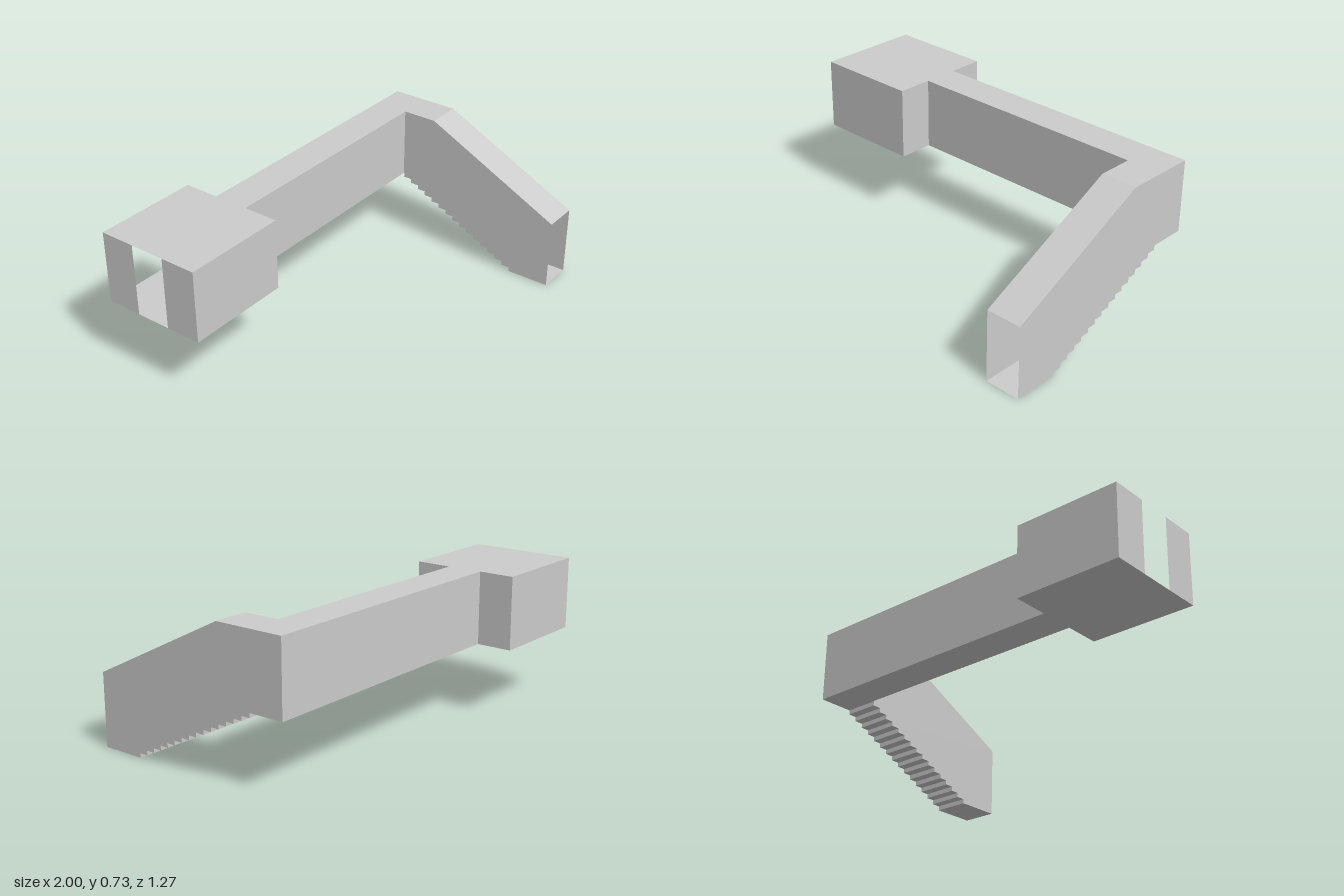
import * as THREE from 'three';

const outer = new THREE.MeshStandardMaterial({ color: 0xcccccc, flatShading: true });
const thin = new THREE.MeshStandardMaterial({ color: 0xcccccc, flatShading: true, side: THREE.DoubleSide });

// Main levels and plan lines
const LOW = 0.365, HIGH = 0.73;
const X0 = -1, XR = -0.455, XS = 0.818, X1 = 1;
const ZB = -0.637, ZC = -0.455, ZF = -0.275, ZR = -0.093, ZE = 0.637;
const STEPS = 16, STAIR_START = 0.41, STAIR_END = -0.272;

// Sweeps a polyline of [x, y, z] points along a vector into flat quads
function ribbon(points, [vx, vy, vz]) {
  const pos = [];
  for (let i = 0; i < points.length - 1; i++) {
    const a = points[i], b = points[i + 1];
    const c = [b[0] + vx, b[1] + vy, b[2] + vz];
    const d = [a[0] + vx, a[1] + vy, a[2] + vz];
    pos.push(...a, ...b, ...c, ...a, ...c, ...d);
  }
  const g = new THREE.BufferGeometry();
  g.setAttribute('position', new THREE.Float32BufferAttribute(pos, 3));
  g.computeVertexNormals();
  return g;
}

const flat = (pts) => new THREE.ShapeGeometry(new THREE.Shape(pts.map(([x, y]) => new THREE.Vector2(x, y))));

export function createModel() {
  const model = new THREE.Group();
  model.name = 'corridorWithStairs';
  const add = (name, geometry, material) => {
    const mesh = new THREE.Mesh(geometry, material);
    mesh.name = name;
    model.add(mesh);
    return mesh;
  };

  // Walls of the room and corridor, leaving the doorway and stairwell open
  const wall = (plan) => ribbon(plan.map(([x, z]) => [x, LOW, z]), [0, HIGH - LOW, 0]);
  add('frontWalls', wall([[X0, ZF], [X0, ZR], [XR, ZR], [XR, ZF], [XS, ZF]]), outer);
  add('backWalls', wall([[X1, ZF], [X1, ZC], [XR, ZC], [XR, ZB], [X0, ZB], [X0, ZC]]), outer);

  // Level floor and roof share one plan
  const plan = [[X0, ZR], [XR, ZR], [XR, ZF], [X1, ZF], [X1, ZC], [XR, ZC], [XR, ZB], [X0, ZB]];
  const slab = () => flat(plan.map(([x, z]) => [x, -z])).rotateX(-Math.PI / 2);
  add('floor', slab(), thin).position.y = LOW;
  add('roof', slab(), outer).position.y = HIGH;

  // Stair profile as [z, y], from the bottom landing up to the corridor
  const stairs = [[ZE, 0], [STAIR_START, 0]];
  const tread = (STAIR_START - STAIR_END) / (STEPS - 1);
  for (let i = 0; i < STEPS; i++) {
    const y = ((i + 1) * LOW) / STEPS;
    stairs.push([STAIR_START - i * tread, y]);
    stairs.push([i < STEPS - 1 ? STAIR_START - (i + 1) * tread : ZF, y]);
  }
  const across = (profile) => ribbon(profile.map(([z, y]) => [XS, y, z]), [X1 - XS, 0, 0]);
  add('stairs', across(stairs), thin);

  // Sloping stair roof and the two side walls
  const stairRoof = [[ZF, HIGH], [ZR, HIGH], [ZE, LOW]];
  add('stairRoof', across([...stairRoof].reverse()).scale(1, 1, 1), thin);
  for (const [name, x] of [['stairWallRight', XS], ['stairWallLeft', X1]]) {
    add(name, flat([...stairs, ...stairRoof]).rotateY(-Math.PI / 2), thin).position.x = x;
  }

  return model;
}
